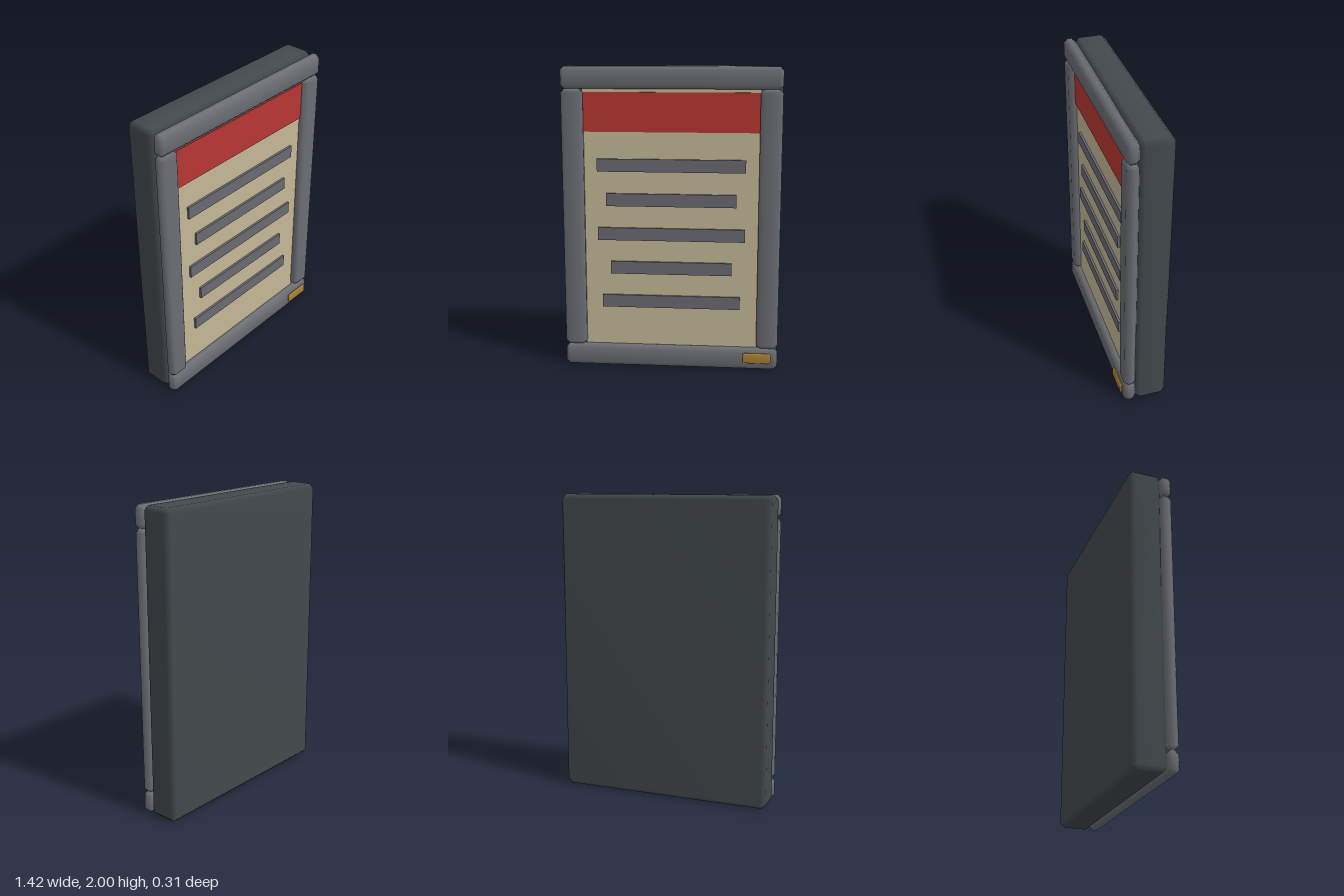
import * as THREE from 'three';
import { mergeVertices } from 'three/addons/utils/BufferGeometryUtils.js';
import { ConvexGeometry } from 'three/addons/geometries/ConvexGeometry.js';

const mat = (name, color) => {
  const m = new THREE.MeshStandardMaterial({ color });
  m.name = name;
  return m;
};

// Box with chamfered edges and normals smoothed across the chamfers
function chamferBox(w, h, d, c) {
  const points = [];
  for (const x of [-1, 1]) for (const y of [-1, 1]) for (const z of [-1, 1]) {
    for (let axis = 0; axis < 3; axis++) {
      const inset = [c, c, c];
      inset[axis] = 0;
      points.push(new THREE.Vector3(
        x * (w / 2 - inset[0]), y * (h / 2 - inset[1]), z * (d / 2 - inset[2])));
    }
  }
  let g = new ConvexGeometry(points);
  g.deleteAttribute('normal');
  g = mergeVertices(g, 1e-5);
  g.computeVertexNormals();
  return g;
}

export function createModel() {
  const group = new THREE.Group();
  const dark = mat('dark slate', 0x43494d);
  const grey = mat('frame grey', 0x6b6e74);
  const cream = mat('parchment', 0xc4b897);
  const red = mat('header red', 0xb83733);
  const ink = mat('line grey', 0x6a6a72);
  const brass = mat('brass', 0xa88236);

  // Adds a box from its x, y and z limits; chamfer 0 gives sharp edges
  const add = (name, material, [x0, x1], [y0, y1], [z0, z1], chamfer = 0) => {
    const size = [x1 - x0, y1 - y0, z1 - z0];
    const geometry = chamfer ? chamferBox(...size, chamfer) : new THREE.BoxGeometry(...size);
    const mesh = new THREE.Mesh(geometry, material);
    mesh.name = name;
    mesh.position.set((x0 + x1) / 2, (y0 + y1) / 2, (z0 + z1) / 2);
    group.add(mesh);
  };

  // Casing
  add('casing', dark, [-0.712, 0.712], [0, 2], [-0.155, 0.055], 0.03);

  // Frame rails and posts
  const frameZ = [0.053, 0.13];
  add('bottomRail', grey, [-0.712, 0.712], [0, 0.143], frameZ, 0.025);
  add('topRail', grey, [-0.712, 0.712], [1.857, 2], frameZ, 0.025);
  add('leftPost', grey, [0.57, 0.712], [0.143, 1.857], frameZ, 0.025);
  add('rightPost', grey, [-0.712, -0.57], [0.143, 1.857], frameZ, 0.025);

  // Display sheet with its header band
  add('sheet', cream, [-0.576, 0.576], [0.13, 1.87], [0.04, 0.083]);
  add('headerBand', red, [-0.576, 0.576], [1.58, 1.835], [0.083, 0.092]);

  // Printed lines: centre height and half width
  [[1.363, 0.485], [1.135, 0.427], [0.906, 0.485], [0.678, 0.4], [0.447, 0.458]]
    .forEach(([y, half], i) =>
      add(`line${i + 1}`, ink, [-half, half], [y - 0.042, y + 0.042], [0.083, 0.098]));

  // Small plate on the bottom rail
  add('brassPlate', brass, [0.483, 0.668], [0.05, 0.119], [0.128, 0.15], 0.009);

  return group;
}
